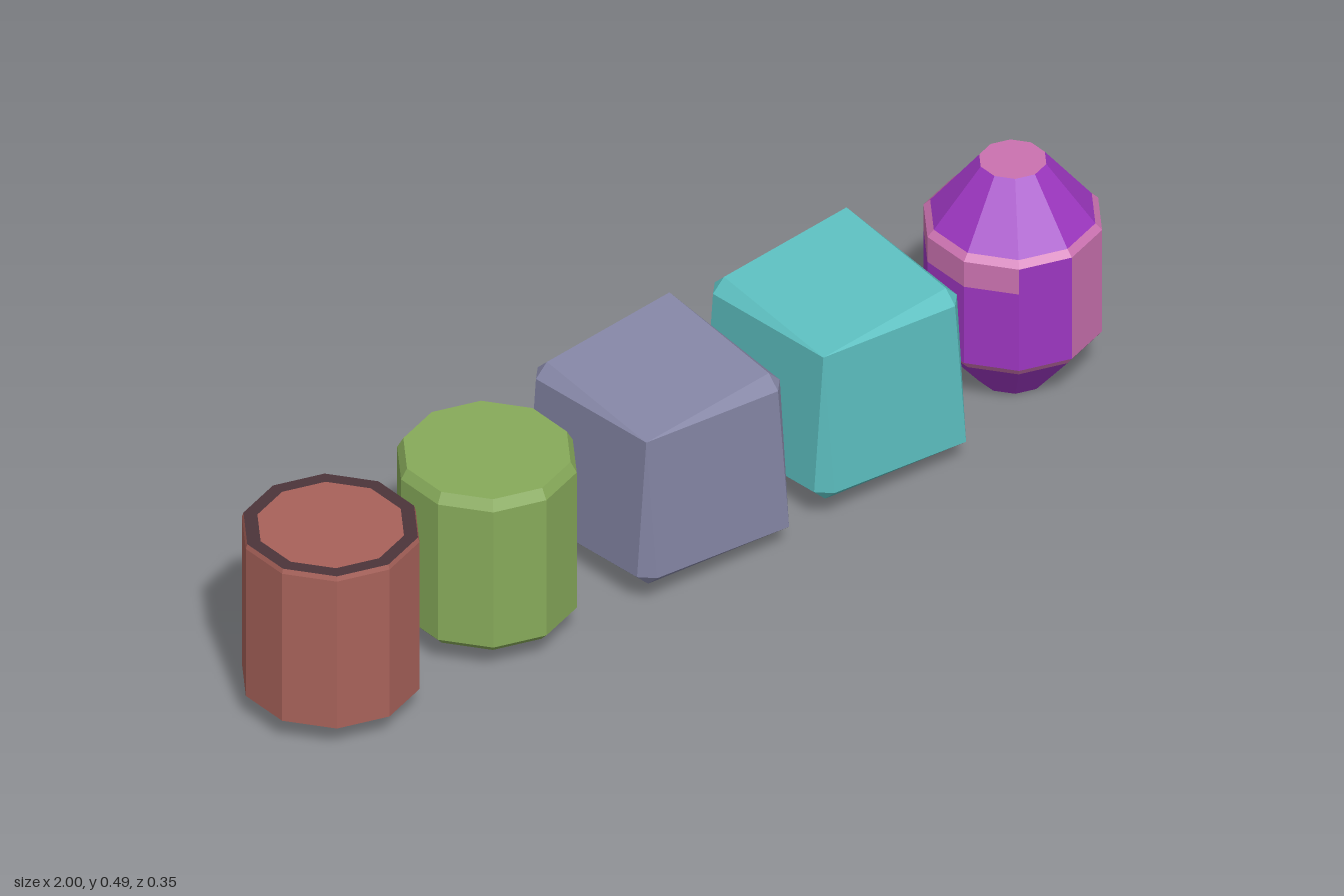
import * as THREE from 'three';
import { ConvexGeometry } from 'three/addons/geometries/ConvexGeometry.js';

const SIDES = 10;
const STEP = (Math.PI * 2) / SIDES;

function makeMaterial(name, color) {
  const m = new THREE.MeshStandardMaterial({ color });
  m.name = name;
  m.flatShading = true;
  return m;
}

// Ten-sided turned surface; the profile runs bottom to top as [radius, y]
function turned(name, profile, material, first = 0, count = SIDES) {
  const points = profile.map(([r, y]) => new THREE.Vector2(r, y));
  const geometry = new THREE.LatheGeometry(points, count, first * STEP, count * STEP);
  const mesh = new THREE.Mesh(geometry, material);
  mesh.name = name;
  return mesh;
}

// Cube whose alternate corners are cut, with bevels tapering away along the edges
function cutCube(name, size, cut, material) {
  const h = size / 2, c = h - cut, points = [];
  for (const x of [-1, 1]) for (const y of [-1, 1]) for (const z of [-1, 1]) {
    if (x * y * z > 0) {
      points.push(
        new THREE.Vector3(x * h, y * c, z * c),
        new THREE.Vector3(x * c, y * h, z * c),
        new THREE.Vector3(x * c, y * c, z * h));
    } else points.push(new THREE.Vector3(x * h, y * h, z * h));
  }
  const mesh = new THREE.Mesh(new ConvexGeometry(points), material);
  mesh.name = name;
  return mesh;
}

function makeGroup(name, x, ...parts) {
  const g = new THREE.Group();
  g.name = name;
  g.position.x = x;
  if (parts.length) g.add(...parts);
  return g;
}

export function createModel() {
  const brick = makeMaterial('brick', 0xa8625a);
  const darkRim = makeMaterial('dark rim', 0x4c343a);
  const green = makeMaterial('green', 0x87aa5a);
  const lavender = makeMaterial('lavender', 0x8788a8);
  const teal = makeMaterial('teal', 0x5ec2c3);
  const purple = makeMaterial('purple', 0x9c36c0);
  const pink = makeMaterial('pink', 0xcb72b0);

  // Brick barrel with dark rims around both end discs
  const barrel = makeGroup('brickBarrel', -0.836,
    turned('barrelWall', [[0.172, 0.055], [0.172, 0.392], [0.169, 0.402]], brick),
    turned('topRim', [[0.169, 0.402], [0.142, 0.402]], darkRim),
    turned('topDisc', [[0.142, 0.402], [0, 0.402]], brick),
    turned('bottomRim', [[0.142, 0.055], [0.172, 0.055]], darkRim),
    turned('bottomDisc', [[0, 0.055], [0.142, 0.055]], brick));

  // Green drum with slightly bevelled ends
  const drum = makeGroup('greenDrum', -0.453,
    turned('drumBody', [[0, 0.055], [0.16, 0.055], [0.174, 0.07],
      [0.174, 0.38], [0.162, 0.402], [0, 0.402]], green));

  // Two cubes
  const cubes = [['lavenderCube', -0.034, lavender], ['tealCube', 0.4, teal]].map(([name, x, m]) => {
    const cube = cutCube(name, 0.35, 0.027, m);
    cube.position.set(x, 0.228, 0);
    return cube;
  });

  // Purple capsule: tapered ends, pink shoulders and discs
  const r = 0.173, low = 0.125, high = 0.357, band = 0.3;
  const capsule = makeGroup('purpleCapsule', 0.836,
    turned('bottomDisc', [[0, 0], [0.069, 0]], pink),
    turned('bottomTaper', [[0.069, 0], [0.16, 0.108]], purple),
    turned('bottomShoulder', [[0.16, 0.108], [r, low]], pink),
    turned('topShoulder', [[r, high], [0.16, 0.37]], pink),
    turned('topTaper', [[0.16, 0.37], [0.065, 0.49]], purple),
    turned('topDisc', [[0.065, 0.49], [0, 0.49]], pink));

  // Wall panels repeat on opposite halves: pink, three banded, purple
  for (const k of [0, 5]) {
    capsule.add(
      turned('pinkPanel', [[r, low], [r, high]], pink, k, 1),
      turned('lowerPanels', [[r, low], [r, band]], purple, k + 1, 3),
      turned('pinkBand', [[r, band], [r, high]], pink, k + 1, 3),
      turned('purplePanel', [[r, low], [r, high]], purple, k + 4, 1));
  }

  const model = makeGroup('shapeRow', 0, barrel, drum, ...cubes, capsule);
  return model;
}
